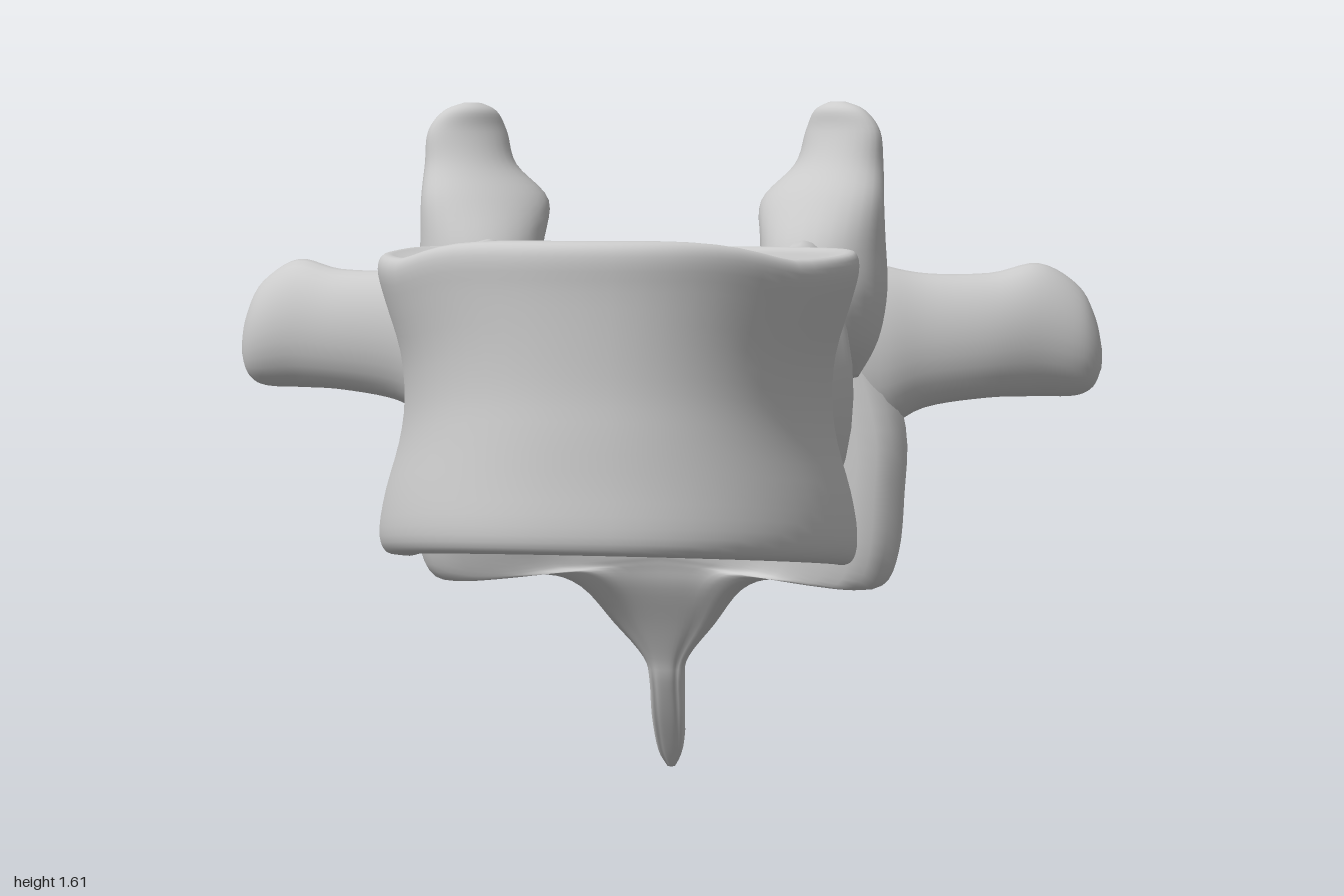
import * as THREE from 'three';

const material = new THREE.MeshStandardMaterial({ color: 0xcccccc });

// Catmull-Rom interpolation through rows of numbers
function smooth(rows, steps, closed = false) {
  const n = rows.length, out = [];
  const at = i => closed ? rows[(i + n) % n] : rows[Math.min(Math.max(i, 0), n - 1)];
  const spans = closed ? n : n - 1;
  for (let i = 0; i < spans; i++) {
    for (let k = 0; k < steps; k++) {
      const t = k / steps;
      out.push(at(i).map((b, j) => {
        const a = at(i - 1)[j], c = at(i + 1)[j], d = at(i + 2)[j];
        return b + 0.5 * t * (c - a + t * (2 * a - 5 * b + 4 * c - d + t * (3 * (b - c) + d - a)));
      }));
    }
  }
  if (!closed) out.push(rows[n - 1]);
  return out;
}

// Closed skin over rings of [x, y, z] points; always wound outwards
function loft(rings) {
  const n = rings[0].length, m = rings.length;
  const mean = ring => [0, 1, 2].map(j => ring.reduce((s, p) => s + p[j], 0) / n);
  const points = [...rings.flat(), mean(rings[0]), mean(rings[m - 1])];
  const index = [];
  for (let i = 0; i < n; i++) {
    const j = (i + 1) % n, top = (m - 1) * n;
    for (let r = 0; r < m - 1; r++) {
      const a = r * n + i, b = r * n + j;
      index.push(a, b, b + n, a, b + n, a + n);
    }
    index.push(m * n, j, i, m * n + 1, top + i, top + j);
  }
  const v = points.map(p => new THREE.Vector3(...p));
  const cross = new THREE.Vector3();
  let volume = 0;
  for (let i = 0; i < index.length; i += 3) {
    volume += cross.crossVectors(v[index[i]], v[index[i + 1]]).dot(v[index[i + 2]]);
  }
  if (volume < 0) index.reverse();
  const geometry = new THREE.BufferGeometry();
  geometry.setAttribute('position', new THREE.Float32BufferAttribute(points.flat(), 3));
  geometry.setIndex(index);
  geometry.computeVertexNormals();
  return geometry;
}

// Rings for a limb: stations [x, y, z, ru, rv] with ellipse axes u and v
function limbRings(stations, u, v, side) {
  return smooth(stations, 5).map(([x, y, z, ru, rv]) =>
    Array.from({ length: 28 }, (_, i) => {
      const a = i / 28 * Math.PI * 2, c = Math.cos(a) * ru, s = Math.sin(a) * rv;
      return [side * (x + u[0] * c + v[0] * s), y + u[1] * c + v[1] * s, z + u[2] * c + v[2] * s];
    }));
}

// Drum-shaped body: rows [height fraction, x scale, z scale]
function bodyGeometry() {
  const rows = [
    [0.05, 0.05, 0.05], [0.045, 0.5, 0.5], [0.02, 0.82, 0.85], [0, 0.93, 0.96], [0.02, 0.985, 0.995],
    [0.09, 1, 1], [0.22, 0.97, 0.985], [0.38, 0.91, 0.97], [0.52, 0.885, 0.955], [0.68, 0.9, 0.95],
    [0.84, 0.96, 0.95], [0.93, 0.99, 0.955], [0.98, 0.985, 0.945], [1, 0.95, 0.91],
    [0.985, 0.85, 0.82], [0.98, 0.5, 0.5], [0.98, 0.05, 0.05],
  ];
  return loft(smooth(rows, 3).map(([h, sx, sz]) =>
    Array.from({ length: 64 }, (_, i) => {
      const a = i / 64 * Math.PI * 2, c = Math.cos(a), s = Math.sin(a);
      const p = s < 0 ? 0.5 : 0.92; // squarer at the back
      const x = 0.465 * sx * Math.sign(c) * Math.abs(c) ** p;
      let z = 0.25 + (s < 0 ? -0.25 : 0.61) * Math.abs(s) ** p * sz;
      if (s < 0) z += 0.035 * sz * Math.exp(-((x / 0.13) ** 2));
      const bottom = 0.7 + 0.2 * Math.max(0, z - 0.25);
      const top = 1.315 + 0.04 * THREE.MathUtils.smoothstep(z, 0.6, 0.8);
      return [x, bottom + (top - bottom) * h, z];
    })));
}

// Arch plate with its lower joint wings, narrowing into the spine:
// [y, half width, wing front z, wing back z, canal z, ridge z, side lift]
function archGeometry() {
  const rows = [
    [1.12, 0.34, -0.33, -0.38, -0.42, -0.45, 0.42],
    [1.09, 0.42, -0.31, -0.42, -0.405, -0.51, 0.32],
    [1.02, 0.5, -0.3, -0.45, -0.405, -0.58, 0.14],
    [0.9, 0.56, -0.285, -0.46, -0.42, -0.63, 0],
    [0.75, 0.56, -0.285, -0.44, -0.43, -0.67, 0],
    [0.64, 0.55, -0.295, -0.435, -0.435, -0.705, -0.04],
    [0.59, 0.515, -0.315, -0.43, -0.44, -0.72, -0.1],
    [0.57, 0.43, -0.345, -0.43, -0.445, -0.73, -0.09],
    [0.55, 0.28, -0.4, -0.47, -0.45, -0.74, -0.04],
    [0.5, 0.19, -0.45, -0.51, -0.465, -0.755, 0],
    [0.4, 0.12, -0.52, -0.58, -0.515, -0.8, 0],
    [0.31, 0.055, -0.565, -0.63, -0.555, -0.86, 0],
    [0.25, 0.042, -0.585, -0.65, -0.575, -0.86, 0],
    [0.15, 0.04, -0.63, -0.67, -0.625, -0.805, 0],
    [0.05, 0.03, -0.69, -0.71, -0.685, -0.77, 0],
    [0, 0.01, -0.725, -0.735, -0.72, -0.745, 0],
  ];
  return loft(smooth(rows, 4).map(([y, w, zf, zb, zc, zr, lift]) => {
    const mix = t => zb + (zr - zb) * t;
    const half = [
      [w * 0.38, zc + (zf - zc) * 0.15], [w * 0.62, zc + (zf - zc) * 0.7], [w * 0.88, zf],
      [w, (zf + zb) / 2], [w * 0.86, zb], [Math.max(w * 0.45, Math.min(w, 0.036)), mix(0.25)],
      [w * 0.16 + Math.min(w * 0.5, 0.018), mix(0.62)], [Math.min(w * 0.5, 0.026), mix(0.94)],
    ];
    const outline = [[0, zc], ...half, [0, zr], ...half.map(([x, z]) => [-x, z]).reverse()];
    return smooth(outline, 3, true).map(([x, z]) => [x, y + lift * Math.abs(x), z]);
  }));
}

const X = [1, 0, 0], Y = [0, 1, 0], Z = [0, 0, 1];

// Paired parts, given for the left side
const paired = {
  Pedicle: [X, Y, [
    [0.29, 1.01, 0.2, 0.08, 0.2], [0.295, 1.01, 0.08, 0.13, 0.27], [0.305, 1.01, 0.02, 0.145, 0.3],
    [0.325, 1.03, -0.05, 0.108, 0.28], [0.335, 1.085, -0.1, 0.092, 0.235],
    [0.34, 1.14, -0.16, 0.09, 0.18], [0.36, 1.145, -0.24, 0.11, 0.155], [0.37, 1.13, -0.36, 0.11, 0.12],
  ]],
  SuperiorArticularProcess: [[0.84, 0, 0.54], [-0.54, 0, 0.84], [
    [0.385, 1.02, -0.29, 0.07, 0.07], [0.38, 1.1, -0.27, 0.115, 0.12], [0.378, 1.2, -0.25, 0.13, 0.15],
    [0.375, 1.3, -0.258, 0.135, 0.138], [0.37, 1.4, -0.283, 0.147, 0.098], [0.405, 1.48, -0.3, 0.105, 0.072],
    [0.412, 1.55, -0.305, 0.092, 0.05], [0.405, 1.595, -0.3, 0.062, 0.034], [0.4, 1.613, -0.3, 0.02, 0.012],
  ]],
  TransverseProcess: [Y, Z, [
    [0.28, 1.1, -0.4, 0.1, 0.04], [0.4, 1.1, -0.38, 0.19, 0.08], [0.5, 1.075, -0.38, 0.185, 0.085],
    [0.6, 1.09, -0.405, 0.15, 0.085], [0.74, 1.1, -0.44, 0.14, 0.09], [0.85, 1.11, -0.485, 0.15, 0.1],
    [0.94, 1.085, -0.51, 0.125, 0.09], [0.98, 1.06, -0.515, 0.08, 0.06], [0.997, 1.045, -0.515, 0.025, 0.02],
  ]],
};

export function createModel() {
  const model = new THREE.Group();
  model.name = 'vertebra';
  const add = (name, geometry) => {
    const mesh = new THREE.Mesh(geometry, material);
    mesh.name = name;
    model.add(mesh);
  };
  add('vertebralBody', bodyGeometry());
  add('archWithSpineAndLowerJoints', archGeometry());
  for (const [name, [u, v, stations]] of Object.entries(paired)) {
    add('left' + name, loft(limbRings(stations, u, v, 1)));
    add('right' + name, loft(limbRings(stations, u, v, -1)));
  }
  return model;
}
